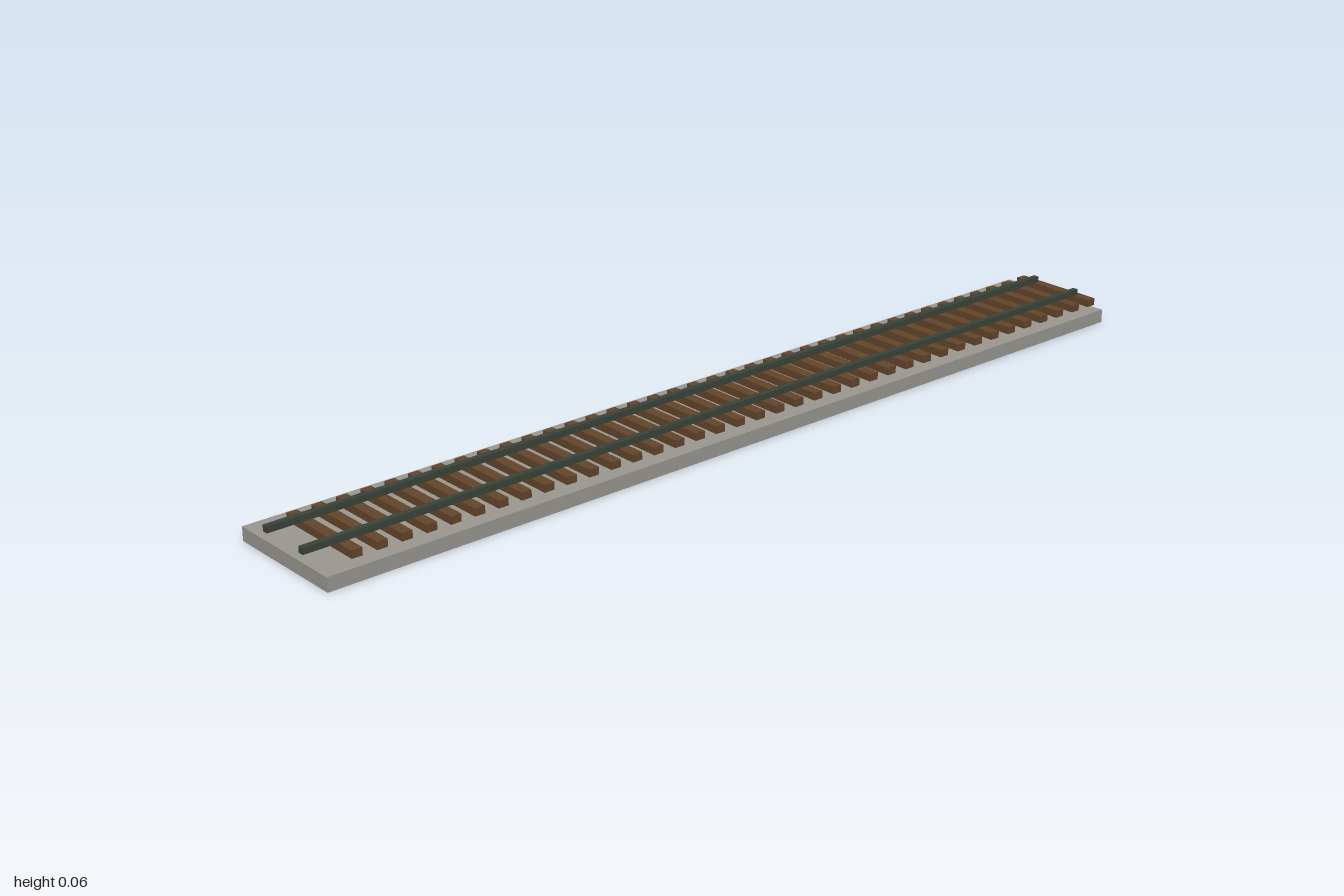
import * as THREE from 'three';

export function createModel() {
  const model = new THREE.Group();
  model.name = 'railwayTrack';

  const material = (name, color) => {
    const m = new THREE.MeshStandardMaterial({ color });
    m.name = name;
    return m;
  };
  const gravel = material('gravel grey', 0x9a9890);
  const wood = material('sleeper brown', 0x63452b);
  const steel = material('rail dark green', 0x3a4439);

  const addBox = (name, mat, w, h, d, x, bottom, z, parent = model) => {
    const mesh = new THREE.Mesh(new THREE.BoxGeometry(w, h, d), mat);
    mesh.name = name;
    mesh.position.set(x, bottom + h / 2, z);
    parent.add(mesh);
  };

  // Ballast bed
  const length = 1.989, midZ = 0.0055;
  addBox('ballastBed', gravel, 0.27, 0.0285, length, 0, 0, midZ);

  // Sleepers, the first one overhanging the back edge of the bed
  const sleepers = new THREE.Group();
  sleepers.name = 'sleepers';
  model.add(sleepers);
  const count = 38, firstZ = -0.989, lastZ = 0.918;
  for (let i = 0; i < count; i++) {
    const z = firstZ + (lastZ - firstZ) * i / (count - 1);
    addBox(`sleeper${i + 1}`, wood, 0.206, 0.0155, 0.022, 0, 0.0285, z, sleepers);
  }

  // Pair of rails
  for (const side of [-1, 1]) {
    addBox(side > 0 ? 'leftRail' : 'rightRail', steel, 0.0125, 0.013, length, side * 0.057, 0.044, midZ);
  }

  return model;
}
